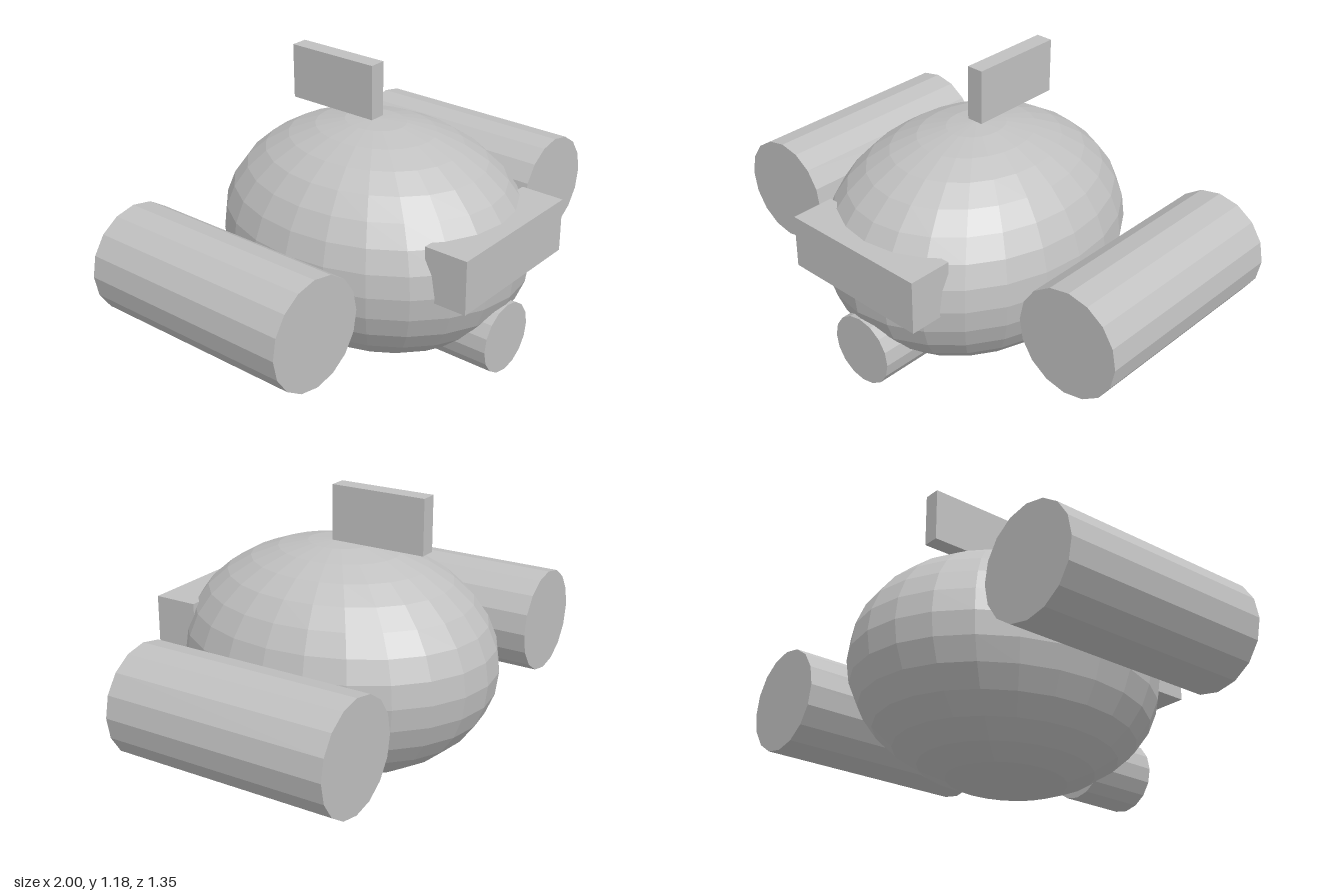
import * as THREE from 'three';

export function createModel() {
  const model = new THREE.Group();
  model.name = 'podShip';
  const grey = new THREE.MeshStandardMaterial({ color: 0xc0c0c0, flatShading: true });
  grey.name = 'plain grey';

  const add = (name, geometry, x, y, z) => {
    const mesh = new THREE.Mesh(geometry, grey);
    mesh.name = name;
    mesh.position.set(x, y, z);
    model.add(mesh);
    return mesh;
  };
  // 16-sided cylinder lying along z
  const barrel = (radius, length) =>
    new THREE.CylinderGeometry(radius, radius, length, 16).rotateX(Math.PI / 2);

  // Egg-shaped hull
  const hullY = 0.485;
  add('hull', new THREE.SphereGeometry(1, 24, 16).scale(0.552, 0.479, 0.672), 0, hullY, 0);

  // Side pods, each on a short strut
  for (const [side, s] of [['left', 1], ['right', -1]]) {
    add(side + 'Pod', barrel(0.221, 0.925), s * 0.779, hullY, -0.103);
    add(side + 'Strut', new THREE.BoxGeometry(0.2, 0.08, 0.16), s * 0.55, hullY, -0.1);
  }

  // Front window block, chin barrel and top fin
  add('windowBlock', new THREE.BoxGeometry(0.646, 0.222, 0.185), 0, 0.578, 0.5825);
  add('chinBarrel', barrel(0.146, 0.278), 0, 0.206, 0.511);
  add('topFin', new THREE.BoxGeometry(0.07, 0.224, 0.405), 0, 1.077, -0.193);

  return model;
}
